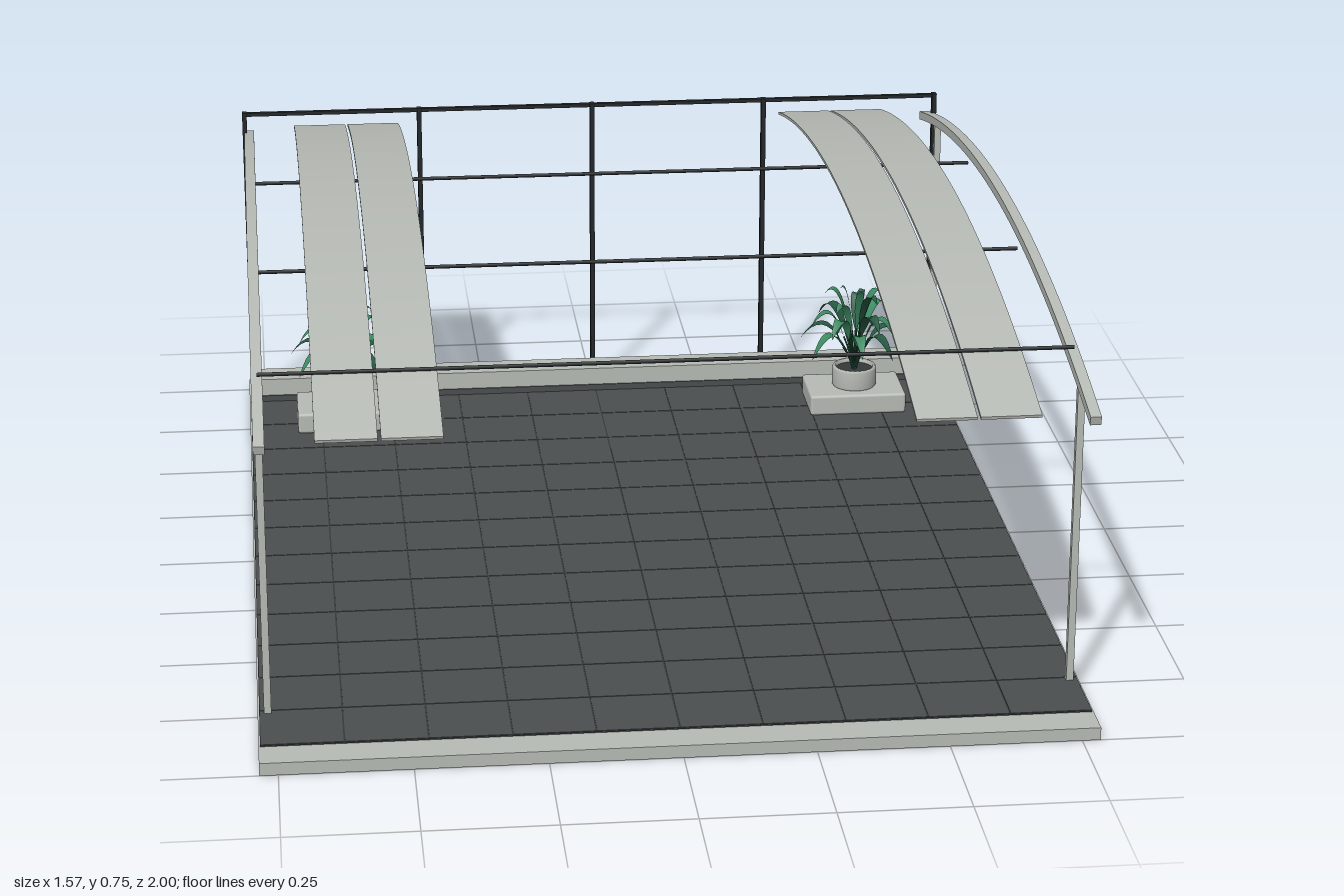
import * as THREE from 'three';
import { RoundedBoxGeometry } from 'three/addons/geometries/RoundedBoxGeometry.js';

const material = (name, color, side = THREE.FrontSide) => {
  const m = new THREE.MeshStandardMaterial({ color, side });
  m.name = name;
  return m;
};

export function createModel() {
  const stone = material('pale stone', 0xb8bcb6);
  const tile = material('slate tile', 0x4a4f50);
  const joint = material('tile joint', 0x35393a);
  const black = material('black metal', 0x24282a);
  const leafGreen = material('leaf green', 0x3c8a62, THREE.DoubleSide);
  const leafDark = material('dark leaf green', 0x265a43, THREE.DoubleSide);
  const model = new THREE.Group();
  model.name = 'pavilion';

  const add = (name, geometry, mat, parent = model) => {
    const mesh = new THREE.Mesh(geometry, mat);
    mesh.name = name;
    parent.add(mesh);
    return mesh;
  };
  // Box given by its lower and upper limits on each axis
  const box = (name, mat, x0, x1, y0, y1, z0, z1, parent) => {
    const mesh = add(name, new THREE.BoxGeometry(x1 - x0, y1 - y0, z1 - z0), mat, parent);
    mesh.position.set((x0 + x1) / 2, (y0 + y1) / 2, (z0 + z1) / 2);
    return mesh;
  };

  // Floor slab, joint layer and tiles
  box('floorSlab', stone, -0.785, 0.785, 0, 0.025, -1, 1);
  box('tileJoints', joint, -0.782, 0.782, 0.024, 0.0275, -0.85, 0.93);
  const nx = 10, nz = 12, tx = 1.564 / nx, tz = 1.78 / nz;
  const tileGeometry = new THREE.BoxGeometry(tx - 0.003, 0.004, tz - 0.003);
  const tiles = new THREE.InstancedMesh(tileGeometry, tile, 0);
  tiles.geometry = tileGeometry;
  const floor = new THREE.Group();
  floor.name = 'floorTiles';
  model.add(floor);
  for (let i = 0; i < nx; i++) {
    for (let k = 0; k < nz; k++) {
      add('tile', tileGeometry, tile, floor)
        .position.set(-0.782 + (i + 0.5) * tx, 0.0265, -0.85 + (k + 0.5) * tz);
    }
  }

  // Low curb along the back with a dark kick strip
  box('backCurb', stone, -0.76, 0.76, 0.025, 0.08, -0.92, -0.85);
  box('curbKick', tile, -0.76, 0.76, 0.0285, 0.042, -0.85, -0.847);

  // Curved bar running front to back, following the roof arc
  const R = 3.94, half = 0.965;
  const arcBar = (name, x0, x1, top, thick) => {
    const cy = top - R, a = Math.asin(half / R), shape = new THREE.Shape();
    shape.absarc(0.035, cy, R, Math.PI / 2 - a, Math.PI / 2 + a, false);
    shape.absarc(0.035, cy, R - thick, Math.PI / 2 + a, Math.PI / 2 - a, true);
    const g = new THREE.ExtrudeGeometry(shape, { depth: x1 - x0, bevelEnabled: false, curveSegments: 36 });
    g.rotateY(Math.PI / 2);
    g.translate(x0, 0, 0);
    add(name, g, stone);
  };
  for (const s of [-1, 1]) {
    const bar = (name, a, b, top, thick) => arcBar(name, Math.min(s * a, s * b), Math.max(s * a, s * b), top, thick);
    bar('roofBeam', 0.755, 0.776, 0.742, 0.018);
    bar('innerRoofPanel', 0.432, 0.545, 0.75, 0.006);
    bar('outerRoofPanel', 0.551, 0.665, 0.75, 0.006);
    // Posts under the beam
    for (const [z, top] of [[0.788, 0.642], [-0.822, 0.648]]) {
      box('post', stone, s * 0.766 - 0.007, s * 0.766 + 0.007, 0.025, top, z - 0.007, z + 0.007);
    }
  }

  // Cross rods between the beams
  for (const z of [0.715, 0.14, -0.43]) {
    const rod = add('crossRod', new THREE.CylinderGeometry(0.004, 0.004, 1.53, 8), black);
    rod.rotation.z = Math.PI / 2;
    rod.position.set(0, 0.68, z);
  }

  // Back frame of slim uprights and rails
  const frame = new THREE.Group();
  frame.name = 'backFrame';
  model.add(frame);
  for (const x of [-0.775, -0.387, 0, 0.387, 0.775]) {
    box('upright', black, x - 0.005, x + 0.005, 0.025, 0.686, -0.936, -0.92, frame);
  }
  box('topRail', black, -0.78, 0.78, 0.677, 0.685, -0.934, -0.924, frame);
  box('bottomRail', black, -0.78, 0.78, 0.025, 0.031, -0.934, -0.924, frame);

  // Arching leaf: a folded strip around a curved midrib
  const leafGeometry = (reach, base, rise, droop, width) => {
    const n = 8, pos = [], idx = [];
    const path = new THREE.QuadraticBezierCurve3(
      new THREE.Vector3(base, rise * 0.55, 0),
      new THREE.Vector3(base + (reach - base) * 0.45, rise * 1.3, 0),
      new THREE.Vector3(reach, droop, 0));
    for (let i = 0; i <= n; i++) {
      const t = i / n, p = path.getPoint(t);
      const w = width * Math.pow(Math.sin(Math.PI * Math.pow(t, 0.85)), 0.8) + 0.0005;
      pos.push(p.x, p.y + w * 0.3, -w, p.x, p.y, 0, p.x, p.y + w * 0.3, w);
      if (i < n) {
        const a = i * 3;
        for (const b of [a, a + 1]) idx.push(b, b + 1, b + 3, b + 1, b + 4, b + 3);
      }
    }
    const g = new THREE.BufferGeometry();
    g.setAttribute('position', new THREE.Float32BufferAttribute(pos, 3));
    g.setIndex(idx);
    g.computeVertexNormals();
    return g;
  };
  // Rings of leaves: count, reach, base, rise, droop, half width, start angle
  const rings = [
    [7, 0.122, 0.03, 0.105, 0.05, 0.014, 0.1],
    [7, 0.105, 0.025, 0.14, 0.1, 0.014, 0.5],
    [5, 0.07, 0.014, 0.165, 0.155, 0.013, 0.2],
    [3, 0.035, 0.006, 0.165, 0.183, 0.01, 0.9],
  ];
  for (const x of [-0.572, 0.572]) {
    const planter = new THREE.Group();
    planter.name = 'planter';
    planter.position.set(x, 0, -0.712);
    model.add(planter);
    add('plinth', new RoundedBoxGeometry(0.215, 0.046, 0.145, 2, 0.006), stone, planter).position.y = 0.051;
    // Pot with an open rim and soil
    const potProfile = [[0, 0.072], [0.046, 0.072], [0.05, 0.078], [0.05, 0.115], [0.047, 0.12], [0.042, 0.12], [0.042, 0.108]]
      .map(([r, y]) => new THREE.Vector2(r, y));
    add('pot', new THREE.LatheGeometry(potProfile, 24), stone, planter);
    add('soil', new THREE.CylinderGeometry(0.042, 0.042, 0.004, 24), joint, planter).position.y = 0.109;
    rings.forEach(([count, reach, base, rise, droop, width, start], r) => {
      for (let i = 0; i < count; i++) {
        const wobble = Math.sin(i * 2.7 + r * 1.3);
        const angle = start + (i / count) * Math.PI * 2 + wobble * 0.15;
        const k = 0.95 + wobble * 0.05;
        const leaf = add('leaf', leafGeometry(reach * k, base, rise * k, droop + wobble * 0.015, width),
          (i + r) % 3 === 0 ? leafDark : leafGreen, planter);
        leaf.position.y = 0.115;
        leaf.rotation.y = angle;
        // Stalk from the soil to the foot of the leaf
        const stalkPath = new THREE.QuadraticBezierCurve3(
          new THREE.Vector3(0.003, -0.006, 0), new THREE.Vector3(base * 0.4, rise * k * 0.3, 0),
          new THREE.Vector3(base, rise * k * 0.55, 0));
        const stalk = add('stalk', new THREE.TubeGeometry(stalkPath, 4, 0.002, 5), leafDark, planter);
        stalk.position.y = 0.115;
        stalk.rotation.y = angle;
      }
    });
  }
  return model;
}
